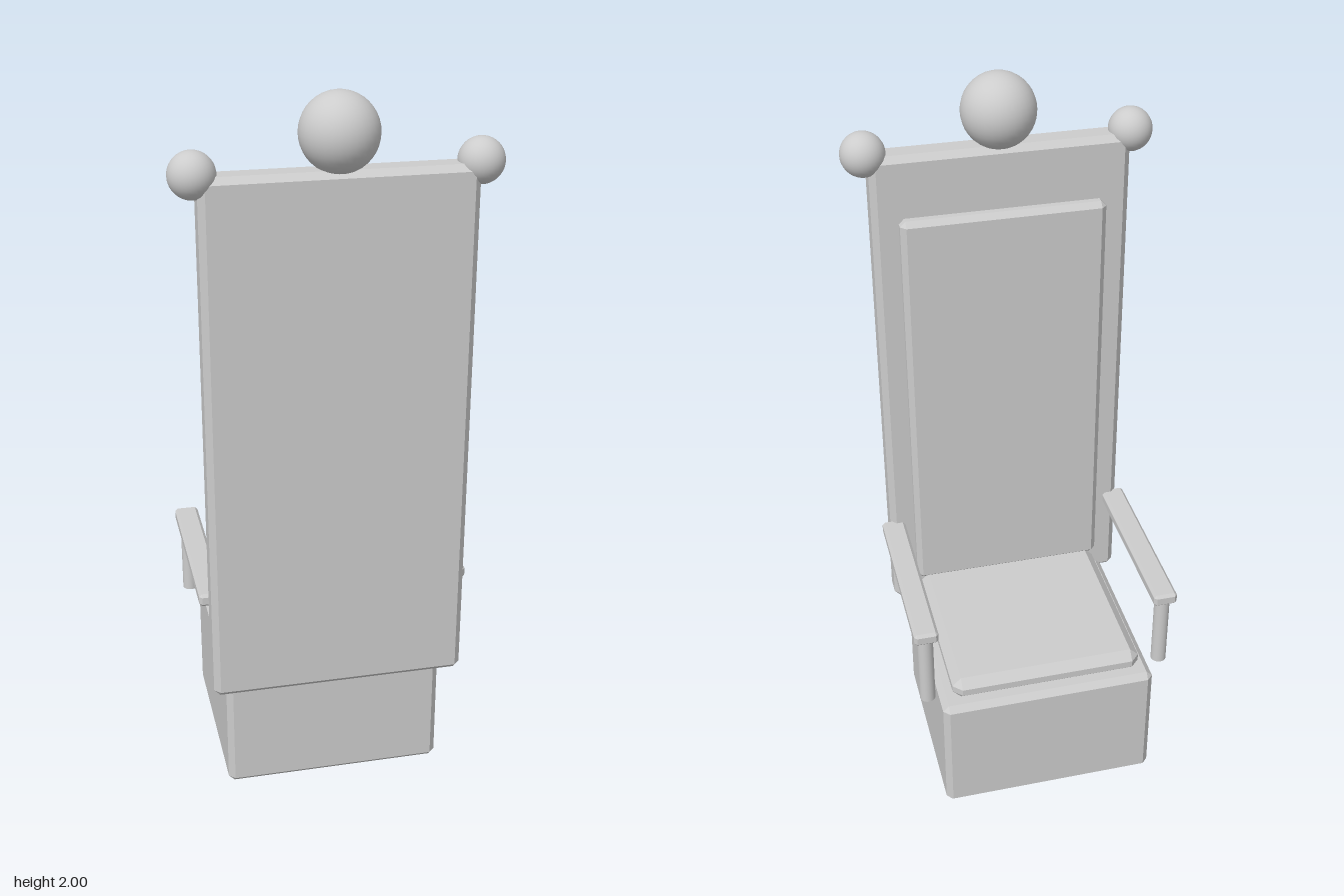
import * as THREE from 'three';
import { ConvexGeometry } from 'three/addons/geometries/ConvexGeometry.js';

const grey = new THREE.MeshStandardMaterial({ color: 0xcccccc });
grey.name = 'light grey';

// Box given by its limits, with every edge cut by a flat chamfer c
function chamferBox(name, [x0, x1], [y0, y1], [z0, z1], c) {
  const half = [(x1 - x0) / 2, (y1 - y0) / 2, (z1 - z0) / 2];
  const points = [];
  for (const sx of [-1, 1]) for (const sy of [-1, 1]) for (const sz of [-1, 1]) {
    // each corner becomes three points, one on each meeting face
    for (let face = 0; face < 3; face++) {
      const p = [sx, sy, sz].map((s, i) => s * (half[i] - (i === face ? 0 : c)));
      points.push(new THREE.Vector3(...p));
    }
  }
  const mesh = new THREE.Mesh(new ConvexGeometry(points), grey);
  mesh.position.set((x0 + x1) / 2, (y0 + y1) / 2, (z0 + z1) / 2);
  mesh.name = name;
  return mesh;
}

function ball(name, r, x, y, z) {
  const mesh = new THREE.Mesh(new THREE.SphereGeometry(r, 32, 20), grey);
  mesh.position.set(x, y, z);
  mesh.name = name;
  return mesh;
}

export function createModel() {
  const throne = new THREE.Group();
  throne.name = 'throne';

  // Seat block and cushion; the seat opens towards -z
  throne.add(
    chamferBox('base', [-0.31, 0.31], [0.005, 0.382], [-0.35, 0.22], 0.017),
    chamferBox('seatCushion', [-0.275, 0.275], [0.38, 0.45], [-0.325, 0.205], 0.025),
  );

  // Tall back with a raised pad
  throne.add(
    chamferBox('backrest', [-0.353, 0.353], [0.352, 1.812], [0.2, 0.287], 0.017),
    chamferBox('backPad', [-0.283, 0.283], [0.44, 1.64], [0.167, 0.215], 0.015),
  );

  // Finials
  throne.add(ball('topFinial', 0.101, 0, 1.899, 0.243));

  for (const [side, s] of [['left', 1], ['right', -1]]) {
    throne.add(ball(side + 'Finial', 0.06, s * 0.361, 1.813, 0.243));

    // Armrest and its front post
    const x = s * 0.344;
    throne.add(chamferBox(side + 'Armrest', [x - 0.034, x + 0.034], [0.608, 0.645], [-0.317, 0.22], 0.008));
    const post = new THREE.Mesh(new THREE.CylinderGeometry(0.022, 0.022, 0.234, 24), grey);
    post.position.set(x, 0.503, -0.283);
    post.name = side + 'ArmPost';
    throne.add(post);
  }
  return throne;
}
